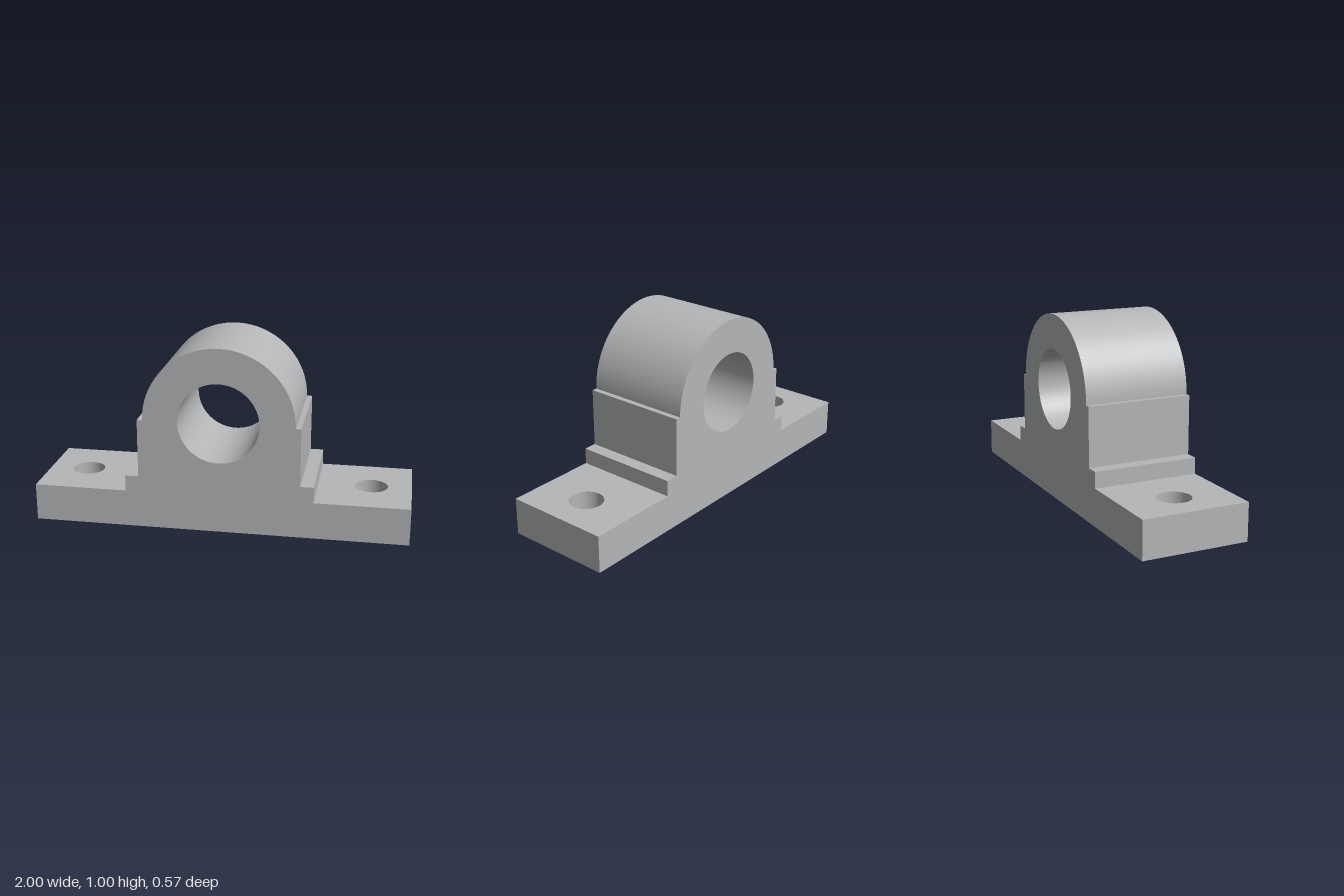
import * as THREE from 'three';
import { toCreasedNormals } from 'three/addons/utils/BufferGeometryUtils.js';

const DEPTH = 0.571;
const BASE_HEIGHT = 0.2;

function circleHole(x, y, radius) {
  return new THREE.Path().absarc(x, y, radius, 0, Math.PI * 2, true);
}

// Extrude a shape, keeping curved walls smooth and corners sharp
function extrude(shape, depth) {
  const geometry = new THREE.ExtrudeGeometry(shape, { depth, bevelEnabled: false, curveSegments: 64 });
  return toCreasedNormals(geometry, Math.PI / 6);
}

export function createModel() {
  const group = new THREE.Group();
  group.name = 'pillowBlock';
  const steel = new THREE.MeshStandardMaterial({ color: 0xb4b6b7 });
  steel.name = 'grey steel';

  function add(name, geometry) {
    const mesh = new THREE.Mesh(geometry, steel);
    mesh.name = name;
    group.add(mesh);
  }

  // Base plate with a vertical bolt hole at each end
  const plate = new THREE.Shape();
  const d = DEPTH / 2;
  plate.moveTo(-1, -d).lineTo(1, -d).lineTo(1, d).lineTo(-1, d).closePath();
  for (const side of [-1, 1]) plate.holes.push(circleHole(side * 0.786, 0, 0.0875));
  add('basePlate', extrude(plate, BASE_HEIGHT).rotateX(-Math.PI / 2));

  // Stepped housing with a round crown and a bore right through
  const housing = new THREE.Shape();
  housing.moveTo(-0.5, BASE_HEIGHT).lineTo(0.5, BASE_HEIGHT).lineTo(0.5, 0.286);
  housing.lineTo(0.429, 0.286).lineTo(0.429, 0.6).lineTo(0.4, 0.6);
  housing.absarc(0, 0.6, 0.4, 0, Math.PI, false);
  housing.lineTo(-0.429, 0.6).lineTo(-0.429, 0.286).lineTo(-0.5, 0.286).closePath();
  housing.holes.push(circleHole(0, 0.601, 0.2145));
  add('bearingHousing', extrude(housing, DEPTH).translate(0, 0, -d));

  return group;
}
